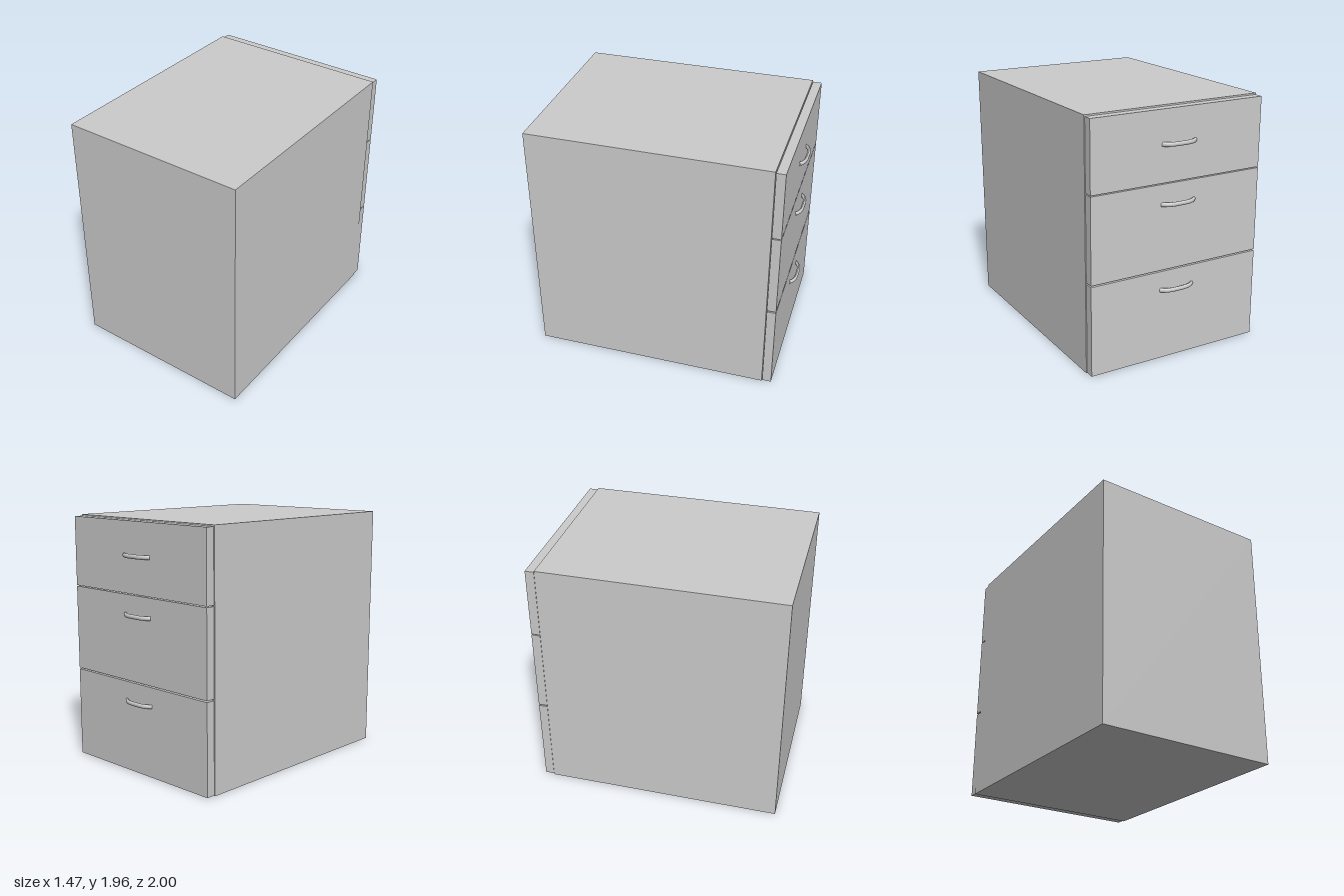
import * as THREE from 'three';

const material = new THREE.MeshStandardMaterial({ color: 0xcccccc });

// Box given by its minimum and maximum corners
function box(name, [x0, y0, z0], [x1, y1, z1]) {
  const mesh = new THREE.Mesh(new THREE.BoxGeometry(x1 - x0, y1 - y0, z1 - z0), material);
  mesh.name = name;
  mesh.position.set((x0 + x1) / 2, (y0 + y1) / 2, (z0 + z1) / 2);
  return mesh;
}

// Bowed pull handle, slightly taller than it is deep
function handleGeometry() {
  const points = [
    [-0.142, 0.005], [-0.115, -0.018], [-0.075, -0.033], [0, -0.037],
    [0.075, -0.033], [0.115, -0.018], [0.142, 0.005],
  ].map(([x, z]) => new THREE.Vector3(x, 0, z));
  const geometry = new THREE.TubeGeometry(new THREE.CatmullRomCurve3(points), 40, 0.013, 16);
  geometry.scale(1, 1.3, 1);
  geometry.computeVertexNormals();
  return geometry;
}

export function createModel() {
  const model = new THREE.Group();
  model.name = 'drawerCabinet';
  model.add(box('carcass', [-0.735, 0, -0.876], [0.735, 1.96, 1]));

  // Drawers: bottom, top and handle height of each
  const drawers = [
    ['bottomDrawer', 0.005, 0.717, 0.567],
    ['middleDrawer', 0.728, 1.395, 1.241],
    ['topDrawer', 1.403, 1.949, 1.692],
  ];
  const pull = handleGeometry();
  for (const [name, y0, y1, handleY] of drawers) {
    const drawer = new THREE.Group();
    drawer.name = name;
    drawer.add(box('drawerFront', [-0.73, y0, -0.95], [0.73, y1, -0.88]));
    // Drawer body showing in the gap behind the front
    drawer.add(box('drawerBody', [-0.67, y0 + 0.05, -0.885], [0.67, y1 - 0.05, -0.87]));
    const handle = new THREE.Mesh(pull, material);
    handle.name = 'handle';
    handle.position.set(0, handleY, -0.95);
    drawer.add(handle);
    model.add(drawer);
  }
  return model;
}
